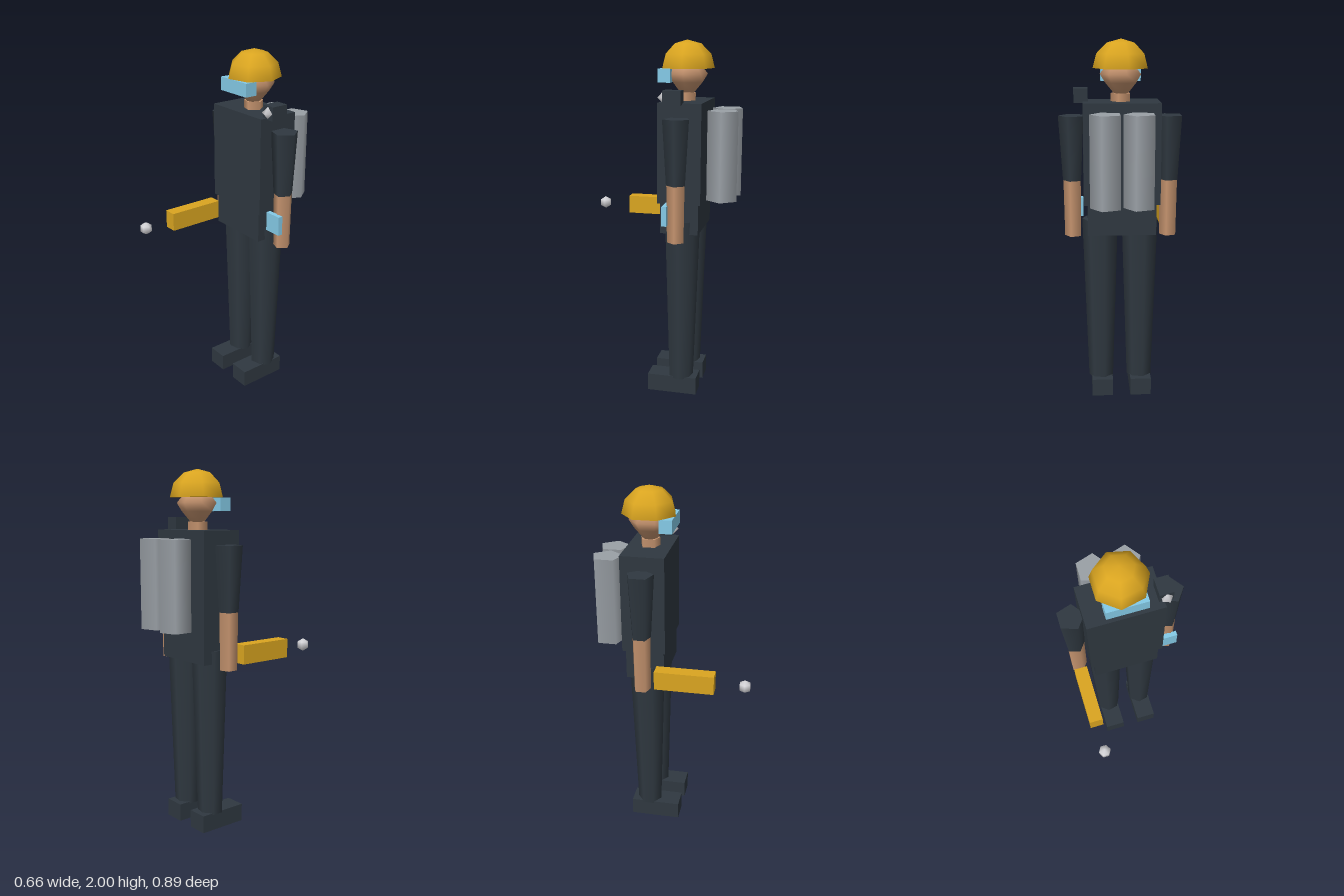
import * as THREE from 'three';

const mat = (name, color) => {
  const m = new THREE.MeshStandardMaterial({ color });
  m.name = name;
  return m;
};

export function createModel() {
  const model = new THREE.Group();
  model.name = 'helmetedFigure';
  const suit = mat('dark suit', 0x2f3840);
  const skin = mat('skin', 0xc6946f);
  const gold = mat('golden yellow', 0xdaa520);
  const glass = mat('sky blue', 0x87ceeb);
  const steel = mat('tank grey', 0x9aa0a6);
  const silver = mat('light silver', 0xd6d6da);

  const CX = -0.007, CZ = -0.15; // body axis

  const add = (name, geometry, material, x = 0, y = 0, z = 0) => {
    const mesh = new THREE.Mesh(geometry, material);
    mesh.name = name;
    mesh.position.set(x, y, z);
    model.add(mesh);
    return mesh;
  };
  // box given by its limits on each axis
  const box = (name, material, [x0, x1], [y0, y1], [z0, z1]) =>
    add(name, new THREE.BoxGeometry(x1 - x0, y1 - y0, z1 - z0), material,
      (x0 + x1) / 2, (y0 + y1) / 2, (z0 + z1) / 2);
  // upright prism with one corner towards +x
  const prism = (name, material, sides, rTop, rBottom, x, [y0, y1], z) =>
    add(name, new THREE.CylinderGeometry(rTop, rBottom, y1 - y0, sides).rotateY(Math.PI / 2),
      material, x, (y0 + y1) / 2, z);
  // low-poly ball with one corner towards +x
  const ball = (name, material, r, w, h, x, y, z) =>
    add(name, new THREE.SphereGeometry(r, w, h).rotateY(Math.PI), material, x, y, z);

  // trunk
  box('torso', suit, [-0.213, 0.198], [1.135, 1.677], [-0.27, -0.032]);
  box('hips', suit, [-0.193, 0.177], [0.963, 1.135], [-0.255, -0.043]);
  prism('neck', skin, 5, 0.055, 0.055, CX, [1.67, 1.72], CZ);

  // limbs, mirrored about the body axis
  for (const [side, s] of [['left', 1], ['right', -1]]) {
    const armX = CX + s * 0.262, legX = CX + s * 0.109;
    prism(side + 'UpperArm', suit, 5, 0.075, 0.054, armX, [1.252, 1.602], CZ);
    prism(side + 'Forearm', skin, 5, 0.052, 0.048, armX, [0.94, 1.252], CZ);
    prism(side + 'Leg', suit, 7, 0.102, 0.072, legX + 0.003, [0.09, 1.035], CZ);
    box(side + 'Shoe', suit, [legX - 0.059, legX + 0.059], [0, 0.1], [-0.25, 0.034]);
    prism(side + 'Tank', steel, 5, 0.087, 0.087, CX + s * 0.087, [1.146, 1.633], -0.369);
  }

  // head tapering to the chin
  const profile = [[0, 1.69], [0.04, 1.72], [0.086, 1.776], [0.113, 1.82], [0.085, 1.855], [0, 1.93]]
    .map(([r, y]) => new THREE.Vector2(r, y));
  add('head', new THREE.LatheGeometry(profile, 7).rotateY(Math.PI / 2), skin, CX, 0, CZ);

  // helmet dome and its flat underside
  const dome = new THREE.SphereGeometry(0.15, 7, 3, 0, Math.PI * 2, 0, Math.PI / 2);
  add('helmet', dome.rotateY(Math.PI), gold, CX, 1.85, CZ);
  add('helmetUnderside', new THREE.CircleGeometry(0.15, 7).rotateX(Math.PI / 2), gold, CX, 1.85, CZ);
  box('visor', glass, [-0.117, 0.1], [1.776, 1.849], [-0.08, -0.01]);

  // shoulder lamp
  box('lampHousing', suit, [0.17, 0.246], [1.67, 1.745], [-0.168, -0.07]);
  ball('lampBulb', silver, 0.033, 5, 2, 0.208, 1.708, -0.07);

  // wrist panel
  box('wristPanel', glass, [0.2, 0.302], [1.035, 1.143], [-0.108, -0.081]);

  // hand-held tool with a floating ball before it
  box('handTool', gold, [-0.308, -0.234], [0.965, 1.07], [-0.075, 0.251]);
  ball('floatingBall', silver, 0.037, 6, 3, -0.271, 1.014, 0.414);

  return model;
}
